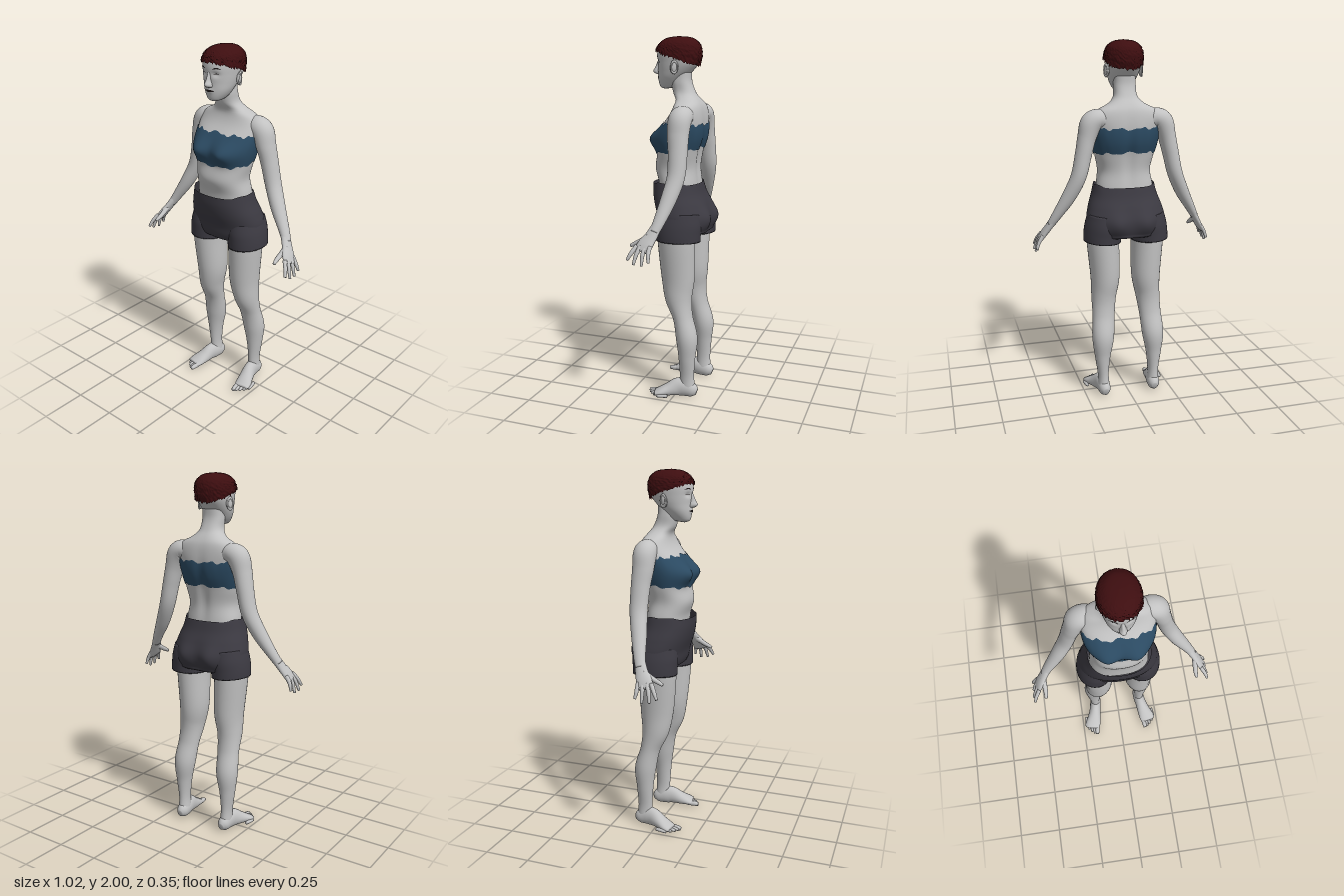
import * as THREE from 'three';
import { mergeVertices } from 'three/addons/utils/BufferGeometryUtils.js';

const mat = (name, color, side = THREE.FrontSide) =>
  Object.assign(new THREE.MeshStandardMaterial({ color, side }), { name });

// Hermite interpolation of table rows whose first column is the key
function sample(rows, k) {
  const n = rows.length - 1;
  let i = 0;
  while (i < n - 1 && k > rows[i + 1][0]) i++;
  const p = rows[i], q = rows[i + 1], h = q[0] - p[0];
  const t = THREE.MathUtils.clamp((k - p[0]) / h, 0, 1);
  const a = rows[Math.max(i - 1, 0)], b = rows[Math.min(i + 2, n)];
  const t2 = t * t, t3 = t2 * t;
  return p.map((_, c) => {
    const m0 = (q[c] - a[c]) / (q[0] - a[0]), m1 = (b[c] - p[c]) / (b[0] - p[0]);
    return (2 * t3 - 3 * t2 + 1) * p[c] + (t3 - 2 * t2 + t) * h * m0
      + (3 * t2 - 2 * t3) * q[c] + (t3 - t2) * h * m1;
  });
}

// Surface from fn(u, v); u runs around, v runs along
function grid(fn, nu, nv) {
  const pos = [], index = [];
  for (let j = 0; j <= nv; j++)
    for (let i = 0; i <= nu; i++) pos.push(...fn(i / nu, j / nv));
  for (let j = 0; j < nv; j++)
    for (let i = 0; i < nu; i++) {
      const a = j * (nu + 1) + i, b = a + 1, c = a + nu + 1, d = c + 1;
      index.push(a, b, c, b, d, c);
    }
  const g = new THREE.BufferGeometry();
  g.setAttribute('position', new THREE.Float32BufferAttribute(pos, 3));
  g.setIndex(index);
  const merged = mergeVertices(g, 1e-5);
  merged.computeVertexNormals();
  return merged;
}

// Closed limb through rows [x, y, z, radius along ref, radius across]
function sweep(points, ref, nu = 24, nv = 40) {
  const rows = points.map((p, i) => [i, ...p]), n = rows.length - 1;
  const at = k => new THREE.Vector3(...sample(rows, k).slice(1, 4));
  return grid((u, v) => {
    const k = n * THREE.MathUtils.clamp((v * nv - 1) / (nv - 2), 0, 1);
    const [, x, y, z, a, b] = sample(rows, k);
    const r = v === 0 || v === 1 ? 0 : 1;
    const T = at(Math.min(k + 0.02, n)).sub(at(Math.max(k - 0.02, 0))).normalize();
    const S = ref.clone().addScaledVector(T, -ref.dot(T)).normalize();
    const U = new THREE.Vector3().crossVectors(T, S), w = u * Math.PI * 2;
    return new THREE.Vector3(x, y, z).addScaledVector(S, r * a * Math.cos(w))
      .addScaledVector(U, r * b * Math.sin(w)).toArray();
  }, nu, nv);
}

const X = new THREE.Vector3(1, 0, 0), Z = new THREE.Vector3(0, 0, 1);
const gauss = (d, w) => Math.exp(-((d / w) ** 2));
const pw = (c, e) => Math.sign(c) * Math.abs(c) ** e;

// Horizontal section from a [y, halfWidth, front z, back z] table
function section(rows, w, y, off, e) {
  const [, rx, zf, zb] = sample(rows, y);
  const c = Math.cos(w), s = Math.sin(w);
  const x = (Math.max(rx, 0) + off) * pw(c, e);
  const z = (zf + zb) / 2 - (Math.max((zf - zb) / 2, 0) + off) * pw(s, e);
  return [x, y, z, Math.max(0, -s), Math.max(0, s)];
}

const TORSO = [[1.1, .165, .12, -.1], [1.22, .158, .128, -.09], [1.3, .147, .15, -.085],
  [1.38, .163, .135, -.095], [1.46, .178, .138, -.113], [1.53, .188, .1, -.12],
  [1.59, .188, .055, -.117], [1.635, .16, .035, -.107], [1.665, .1, .035, -.09],
  [1.7, .066, .055, -.065], [1.76, .061, .066, -.042], [1.82, .058, .06, -.04]];
const SHORTS = [[.935, .02, .02, -.02], [.937, .15, .08, -.12], [.96, .205, .108, -.145],
  [1.03, .222, .125, -.158], [1.1, .208, .148, -.14], [1.16, .187, .16, -.115], [1.215, .17, .163, -.1]];
const HEAD = [[1.722, .004, .11, .1], [1.728, .03, .129, .06], [1.745, .05, .139, .02], [1.78, .071, .143, -.01],
  [1.82, .084, .144, -.05], [1.86, .092, .147, -.08], [1.91, .097, .148, -.09], [1.95, .09, .136, -.083],
  [1.975, .067, .108, -.058], [1.987, .038, .075, -.026], [1.991, 0, .03, .03]];
const NOSE = [[1.797, .002, .15, .13], [1.799, .015, .158, .12], [1.813, .019, .178, .12],
  [1.835, .012, .168, .12], [1.875, .009, .15, .12], [1.895, .006, .14, .12]];

function torso(w, y, off = 0) {
  const [x, , z, f, b] = section(TORSO, w, y, off, .85);
  const bust = .035 * gauss(Math.abs(x) - .085, .06) * gauss(y - 1.455, .055) * f;
  const spine = .012 * gauss(x, .03) * gauss(y - 1.38, .18) * b;
  return [x, y, z + bust + spine];
}
function pelvis(w, y) {
  const [x, , z, , b] = section(SHORTS, w, y, 0, .88);
  return [x, y + .012 * gauss(Math.abs(x) - .16, .02) * gauss(y - 1.215, .03),
    z - .026 * gauss(Math.abs(x) - .085, .055) * gauss(y - 1.02, .07) * b];
}
function head(w, y, off = 0) {
  const [x, , z, f] = section(HEAD, w, y, off, .95);
  const socket = .009 * gauss(Math.abs(x) - .037, .018) * gauss(y - 1.866, .014);
  const lips = .006 * gauss(x, .02) * gauss(y - 1.782, .014);
  return [x, y, z + (lips - socket) * f];
}
const loft = (fn, y0, y1, nu = 64, nv = 48) =>
  grid((u, v) => fn(u * Math.PI * 2, y0 + (y1 - y0) * v), nu, nv);
// Thin lens-shaped plate lying on the face
const facePlate = (w0, w1, y, thick, arch = 0) => grid((u, v) => head(w0 + (w1 - w0) * u,
  y + arch * Math.sin(u * Math.PI) + thick * (v - .5) * Math.sin(Math.PI * (.08 + .84 * u)), .002), 14, 3);

export function createModel() {
  const model = new THREE.Group();
  const skin = mat('skin', 0xc2c2c2);
  const topCloth = mat('blue cloth', 0x2b4a62, THREE.DoubleSide);
  const shortsCloth = mat('charcoal cloth', 0x3c3a42, THREE.DoubleSide);
  const hairRed = mat('dark red hair', 0x3e0e10, THREE.DoubleSide);
  const dark = mat('dark features', 0x1c1616, THREE.DoubleSide);

  const add = (name, g, m) => {
    const mesh = new THREE.Mesh(g, m);
    mesh.name = name;
    model.add(mesh);
  };
  // Adds the part on +x and its mirror image on -x
  const pair = (name, g, m) => {
    add('left ' + name, g, m);
    const r = g.clone().scale(-1, 1, 1), ix = r.index.array;
    for (let i = 0; i < ix.length; i += 3) [ix[i], ix[i + 1]] = [ix[i + 1], ix[i]];
    r.computeVertexNormals();
    add('right ' + name, r, m);
  };

  // Torso, neck and head
  add('torso', loft(torso, 1.1, 1.82, 72, 70), skin);
  add('head', loft(head, 1.722, 1.991, 72, 70), skin);
  add('nose', loft((w, y) => section(NOSE, w, y, 0, 1).slice(0, 3), 1.797, 1.895, 20, 20), skin);
  pair('ear', new THREE.SphereGeometry(1, 16, 12).scale(.011, .034, .021)
    .rotateX(-.2).rotateY(.35).translate(.094, 1.836, .022), skin);
  pair('ear rim', new THREE.TorusGeometry(.02, .005, 8, 20).scale(.85, 1.5, 1)
    .rotateY(Math.PI / 2 + .35).translate(.1, 1.838, .02), skin);

  // Face details
  pair('eyebrow', facePlate(-1.36, -.9, 1.892, .007, .007), dark);
  pair('eyelashes', facePlate(-1.34, -.98, 1.866, .004, .004), dark);
  add('mouth', facePlate(-Math.PI / 2 - .36, -Math.PI / 2 + .36, 1.782, .012), dark);

  // Cropped hair with a ragged surface
  const hash = (a, b) => {
    const s = Math.sin(a * 12.9898 + b * 78.233) * 43758.5453;
    return s - Math.floor(s);
  };
  add('hair', grid((u, v) => {
    const w = u * Math.PI * 2, line = 1.89 - .04 * Math.sin(w);
    const n = hash(Math.round(u * 128) % 128, Math.round(v * 32)) * (1 - v);
    const p = head(w, line + (1.991 - line) * (1 - (1 - v) ** 1.6), v === 1 ? 0 : .004 + .009 * n);
    return [p[0], p[1] + .008 * v + (v === 0 ? -.012 * n : 0), p[2]];
  }, 128, 32), hairRed);

  // Strapless top with wavy edges
  add('bandeau top', grid((u, v) => {
    const w = u * Math.PI * 2, s = Math.sin(w);
    const low = 1.393 + .012 * s + .005 * Math.sin(w * 9) + .003 * Math.sin(w * 17);
    const high = 1.543 - .006 * s + .006 * Math.sin(w * 11) + .004 * Math.sin(w * 23 + 1);
    return torso(w, low + (high - low) * v, .008 * Math.sin(Math.PI * (.15 + .7 * v)));
  }, 120, 20), topCloth);

  // Shorts
  add('shorts', loft(pelvis, .935, 1.215, 80, 40), shortsCloth);
  pair('shorts leg', sweep([[.125, 1.06, -.015, .09, .12], [.13, 1, -.015, .101, .128],
    [.135, .95, -.014, .104, .126], [.137, .908, -.014, .104, .124]], X, 40, 20), shortsCloth);

  // Legs and feet
  pair('leg', sweep([[.13, .98, 0, .095, .105], [.128, .88, -.002, .09, .104], [.12, .7, -.008, .082, .094],
    [.13, .58, -.014, .07, .077], [.138, .47, -.042, .063, .055], [.148, .35, -.069, .062, .06],
    [.152, .24, -.071, .045, .048], [.15, .13, -.071, .031, .041], [.148, .05, -.075, .034, .043]], X, 32, 64), skin);
  pair('foot', sweep([[.146, .034, -.128, .016, .02], [.147, .042, -.105, .032, .04], [.15, .054, -.06, .036, .052],
    [.157, .055, -.02, .036, .052], [.17, .039, .03, .042, .037], [.184, .026, .075, .048, .024],
    [.19, .019, .105, .043, .015]], X, 28, 32), skin);
  for (let i = 0; i < 5; i++) {
    const x = .163 + .0165 * i, z = .137 - .004 * i - .003 * i * i, r = i ? .0095 : .014;
    pair('toe ' + (i + 1), sweep([[x - .006, .018, z - .05, r, r], [x, .016, z - .01, r, r],
      [x + .002, .013, z + .012, r * .75, r * .7]], X, 12, 12), skin);
  }

  // Arms and hands
  pair('arm', sweep([[.12, 1.578, -.048, .05, .05], [.165, 1.585, -.047, .06, .056], [.2, 1.56, -.046, .062, .06],
    [.224, 1.49, -.046, .058, .05], [.245, 1.4, -.052, .052, .045], [.274, 1.28, -.052, .048, .042],
    [.325, 1.17, -.03, .042, .038], [.385, 1.07, -.004, .032, .027], [.418, 1.015, .014, .027, .021]], Z, 28, 64), skin);
  pair('palm', sweep([[.4, 1.045, .004, .028, .022], [.43, .995, .026, .034, .019], [.455, .955, .048, .043, .017],
    [.474, .922, .06, .042, .012]], Z, 24, 20), skin);
  const knuckles = [.096, .072, .048, .026];
  const tips = [[.497, .878, .132], [.503, .858, .095], [.5, .854, .052], [.498, .872, .014]];
  tips.forEach(([x, y, z], i) => pair('finger ' + (i + 1), sweep([[.462, .95, knuckles[i] - .006, .012, .011],
    [.485, .912, (knuckles[i] + z) / 2, .011, .01], [x, y, z, .007, .007]], Z, 12, 14), skin));
  pair('thumb', sweep([[.432, .995, .035, .018, .018], [.428, .968, .08, .014, .014],
    [.427, .952, .112, .012, .012], [.43, .938, .14, .008, .008]], X, 12, 16), skin);

  return model;
}
